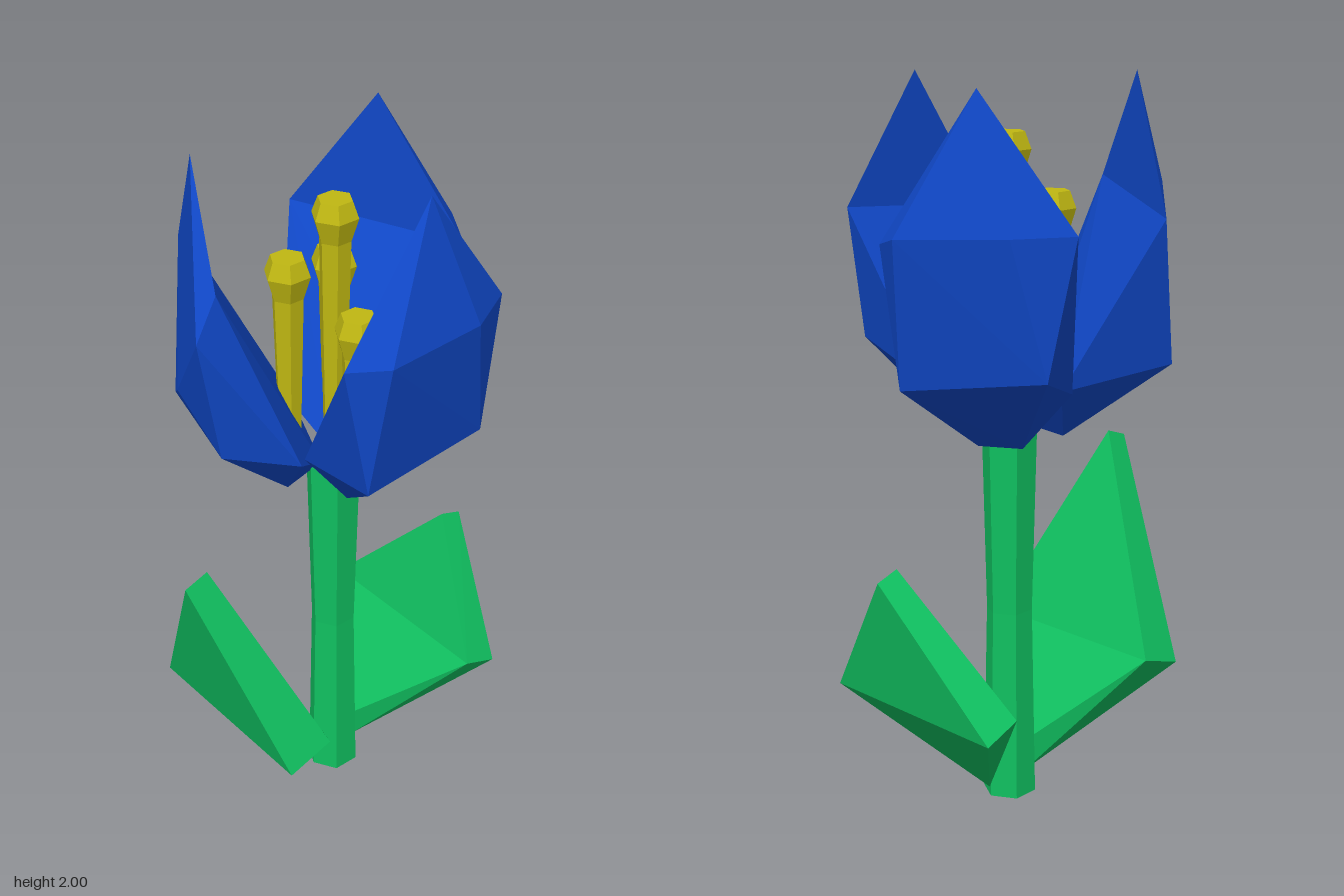
import * as THREE from 'three';
import { ConvexGeometry } from 'three/addons/geometries/ConvexGeometry.js';

const mat = (color) => new THREE.MeshStandardMaterial({ color, flatShading: true });
const GREEN = mat(0x10c060), BLUE = mat(0x1048c8), YELLOW = mat(0xc0b812);
const CX = -0.03, CZ = -0.035; // stem axis

// Closed faceted solid around a few corner points
function hull(points, material) {
  return new THREE.Mesh(new ConvexGeometry(points.map((p) => new THREE.Vector3(...p))), material);
}

// Six-sided turned part from [radius, y] pairs, bottom to top
function hexLathe(profile, material, name, x, z) {
  const geo = new THREE.LatheGeometry(profile.map((p) => new THREE.Vector2(...p)), 6);
  const mesh = new THREE.Mesh(geo, material);
  mesh.position.set(x, 0, z);
  mesh.name = name;
  return mesh;
}

function named(name, ...children) {
  const g = new THREE.Group();
  g.name = name;
  return g.add(...children);
}

// Thick diamond leaf, bent at its widest line; base, middle and tip are [y, z] for outer then inner face
function leaf(name, base, middle, tip) {
  const low = base.map(([y, z]) => [-0.025, y, z]);
  const mid = middle.flatMap(([y, z]) => [[-0.315, y, z], [0.26, y, z]]);
  const top = tip.map(([y, z]) => [0.02, y, z]);
  return named(name, hull([...low, ...mid], GREEN), hull([...mid, ...top], GREEN));
}

// Petal: cup-shaped lower part and pointed upper part meeting at the shoulder
function petal(name, tip, shoulder, lower) {
  return named(name, hull([...shoulder, ...lower], BLUE), hull([tip, ...shoulder], BLUE));
}

// Turns a point about the stem axis
function turn([x, y, z], angle) {
  const c = Math.cos(angle), s = Math.sin(angle), dx = x - CX, dz = z - CZ;
  return [CX + dx * c + dz * s, y, CZ - dx * s + dz * c];
}

export function createModel() {
  const model = new THREE.Group();
  model.name = 'flower';

  // Stem
  model.add(hexLathe([[0, 0], [0.075, 0], [0.064, 0.55], [0.077, 1.09], [0, 1.09]], GREEN, 'stem', -0.025, CZ));

  // Leaves
  model.add(
    leaf('frontLeaf', [[0.03, 0.03], [0.12, 0.01]], [[0.355, 0.345], [0.4, 0.21]], [[0.93, 0.495], [0.955, 0.425]]),
    leaf('backLeaf', [[0.03, -0.115], [0.12, -0.09]], [[0.355, -0.412], [0.395, -0.307]], [[0.73, -0.477], [0.752, -0.41]]),
  );

  // Petals: the left one is repeated at the back
  const tip = [0.32, 1.99, -0.04];
  const shoulder = [[0.32, 1.65, -0.288], [0.31, 1.61, 0.21], [0.4, 1.65, -0.14], [0.41, 1.64, 0.145]];
  const cup = [[0.34, 1.29, -0.22], [0.34, 1.25, 0.155]];
  const foot = [[0.08, 1.2, -0.226], [0.06, 1.2, 0.13], [0.1, 1.05, -0.1], [0.1, 1.05, 0.02], [0.0, 1.08, -0.04]];
  const third = (2 * Math.PI) / 3;
  const spin = (list, angle) => list.map((p) => turn(p, angle));
  model.add(
    petal('leftPetal', tip, shoulder, [...cup, ...foot]),
    petal('backPetal', turn(tip, third), spin(shoulder, third), spin([...cup, ...foot], third)),
    // The front petal is flatter with an extra bend on its right side
    petal('frontPetal', [-0.195, 2, 0.265],
      [[-0.01, 1.61, 0.402], [-0.405, 1.65, 0.14], [-0.03, 1.71, 0.325], [-0.315, 1.73, 0.23]],
      [[-0.225, 1.35, 0.32], [-0.02, 1.25, 0.335], [-0.355, 1.25, 0.24], ...spin(foot, -third)]),
  );

  // Stamens: x, z, top height
  const stamens = [[-0.024, -0.04, 1.855], [0.1, -0.012, 1.59], [-0.09, 0.06, 1.7], [-0.133, -0.127, 1.65]];
  for (const [x, z, top] of stamens) {
    const profile = [[0, 1.1], [0.03, 1.1], [0.043, top - 0.11], [0.063, top - 0.045], [0.046, top], [0, top]];
    model.add(hexLathe(profile, YELLOW, 'stamen', x, z));
  }
  return model;
}
